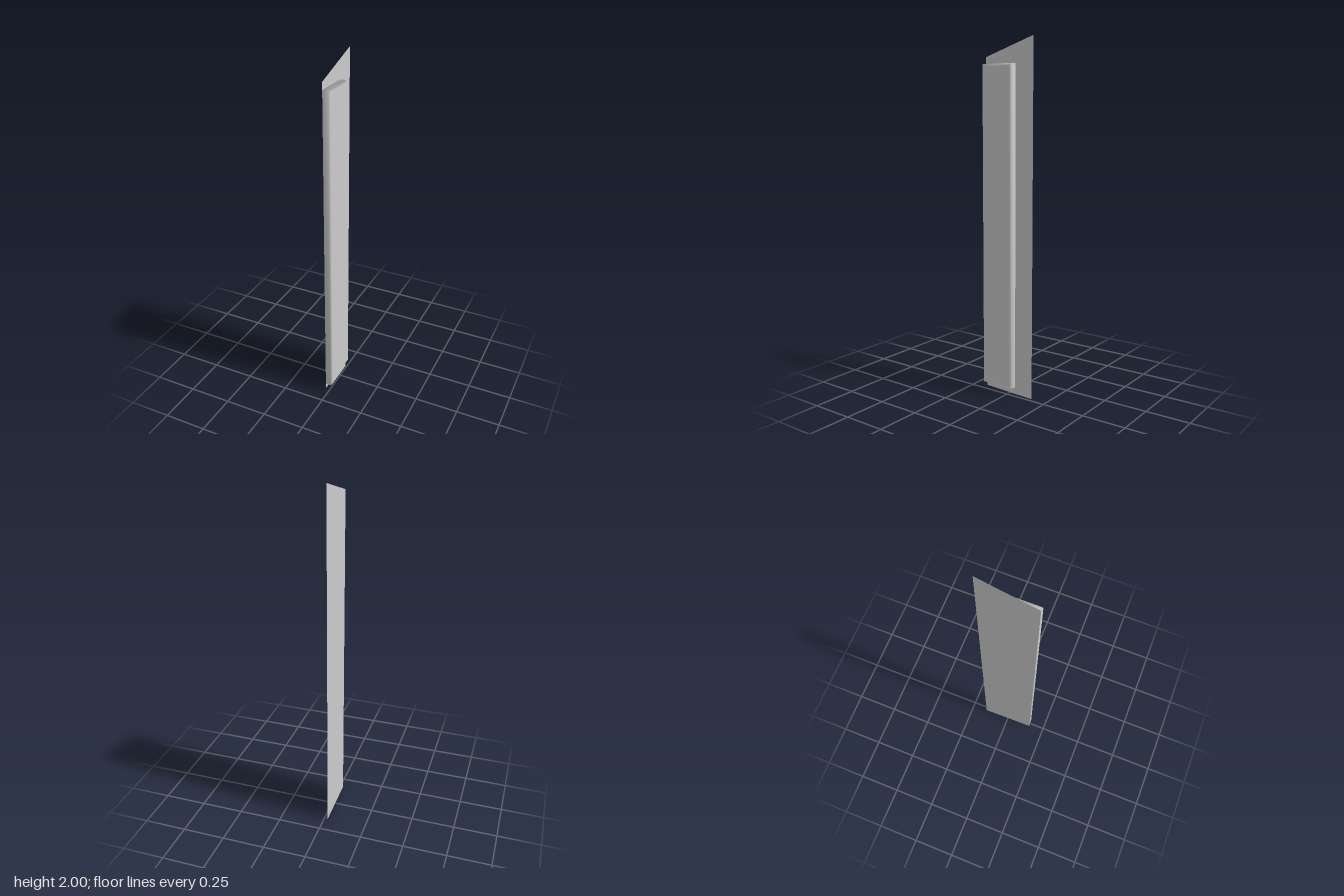
import * as THREE from 'three';

// Softened slab: rectangular cross-sections stacked along x, closed by a cap
function slabGeometry(rings, y0, y1, z0, z1) {
  const pos = [];
  const index = [];
  for (const [x, inset] of rings) {
    const a = y0 + inset, b = y1 - inset, c = z0 + inset, d = z1 - inset;
    pos.push(x, a, c, x, b, c, x, b, d, x, a, d);
  }
  for (let r = 0; r < rings.length - 1; r++) {
    for (let i = 0; i < 4; i++) {
      const j = (i + 1) % 4;
      const p = r * 4 + i, q = r * 4 + j;
      index.push(p, q, q + 4, p, q + 4, p + 4);
    }
  }
  const t = (rings.length - 1) * 4;
  index.push(t, t + 1, t + 2, t, t + 2, t + 3);
  const geometry = new THREE.BufferGeometry();
  geometry.setAttribute('position', new THREE.Float32BufferAttribute(pos, 3));
  geometry.setIndex(index);
  geometry.computeVertexNormals();
  return geometry;
}

export function createModel() {
  const group = new THREE.Group();
  const material = new THREE.MeshStandardMaterial({ color: 0xcccccc, side: THREE.DoubleSide });

  // Thin backing sheet with a sloped top, drawn in (-z, y) and turned to face +x
  const outline = new THREE.Shape([
    new THREE.Vector2(-0.157, 0.012),
    new THREE.Vector2(0.157, 0),
    new THREE.Vector2(0.157, 2),
    new THREE.Vector2(-0.157, 1.9),
  ]);
  const sheet = new THREE.Mesh(new THREE.ShapeGeometry(outline), material);
  sheet.name = 'backingSheet';
  sheet.rotation.y = Math.PI / 2;
  sheet.position.x = -0.021;
  group.add(sheet);

  // Raised panel with softened outer edges: [x, inset] per ring
  const rings = [[-0.021, 0], [0.011, 0], [0.018, 0.006], [0.02, 0.012], [0.021, 0.03]];
  const panel = new THREE.Mesh(slabGeometry(rings, 0.045, 1.86, -0.043, 0.157), material);
  panel.name = 'raisedPanel';
  group.add(panel);

  return group;
}
